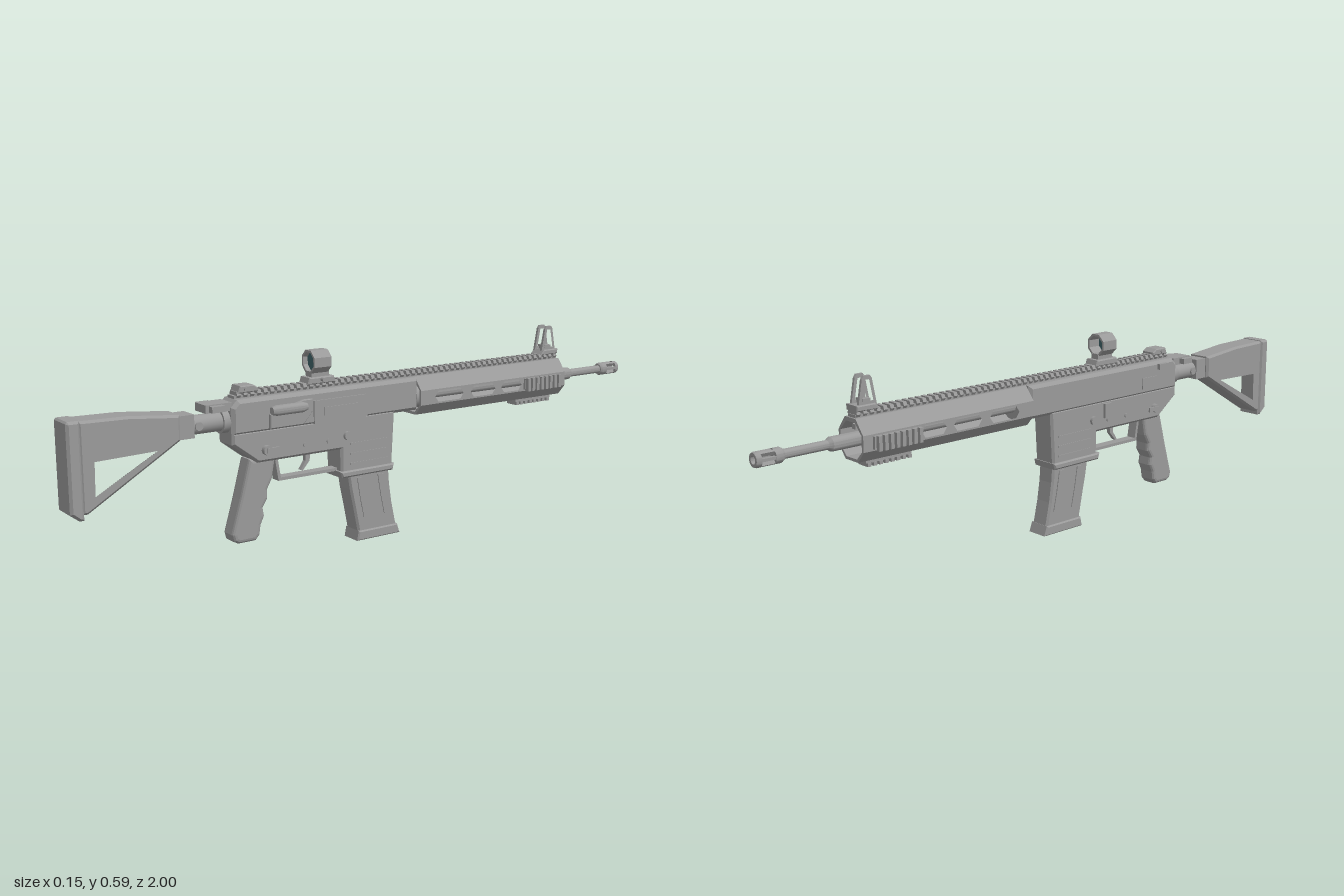
import * as THREE from 'three';
import { toCreasedNormals } from 'three/addons/utils/BufferGeometryUtils.js';

export function createModel() {
  const model = new THREE.Group();
  const metal = new THREE.MeshStandardMaterial({ color: 0x9a9a9a });
  metal.name = 'grey metal';
  const glass = new THREE.MeshStandardMaterial({ color: 0x3f6468, side: THREE.DoubleSide });
  glass.name = 'teal glass';

  const add = (name, geo, x = 0, y = 0, z = 0, mat = metal) => {
    const m = new THREE.Mesh(geo, mat);
    m.name = name;
    m.position.set(x, y, z);
    model.add(m);
    return m;
  };
  // box given by its centre x, half width, y range and z range
  const box = (name, x, hw, y0, y1, z0, z1) =>
    add(name, new THREE.BoxGeometry(hw * 2, y1 - y0, z1 - z0), x, (y0 + y1) / 2, (z0 + z1) / 2);
  const path = pts => pts.map(([z, y]) => new THREE.Vector2(-z, y));
  // side profile of [z, y] points, extruded across x
  const side = (name, pts, hw, bevel = 0, holes = [], x = 0, segs = 1) => {
    const s = new THREE.Shape(path(pts));
    holes.forEach(h => s.holes.push(new THREE.Path(path(h))));
    const g = new THREE.ExtrudeGeometry(s, {
      depth: 2 * (hw - bevel), bevelEnabled: bevel > 0, bevelSize: bevel,
      bevelThickness: bevel, bevelOffset: -bevel, bevelSegments: segs });
    g.translate(0, 0, -(hw - bevel));
    g.rotateY(Math.PI / 2);
    return add(name, g, x);
  };
  // cross-section of [x, y] points, extruded along z
  const section = (name, pts, z0, z1) => {
    const s = new THREE.Shape(pts.map(p => new THREE.Vector2(...p)));
    return add(name, new THREE.ExtrudeGeometry(s, { depth: z1 - z0, bevelEnabled: false }), 0, 0, z0);
  };
  // [radius, z] profile turned round the z axis
  const turned = (name, pts, x, y, n = 16, phase = 0) => {
    const g = new THREE.LatheGeometry(pts.map(p => new THREE.Vector2(...p)), n, phase);
    g.rotateX(Math.PI / 2);
    return add(name, toCreasedNormals(g, 0.6), x, y);
  };
  // short pin sticking out along x
  const pin = (name, x, y, z, r, len) => {
    const g = new THREE.CylinderGeometry(r, r, len, 12);
    g.rotateZ(Math.PI / 2);
    return add(name, g, x, y, z);
  };
  const BY = 0.415; // bore height

  // Stock
  side('stock', [[0.967, 0.473], [0.83, 0.47], [0.68, 0.455], [0.68, 0.385], [0.95, 0.226], [0.967, 0.226]],
    0.04, 0.007, [[[0.935, 0.37], [0.74, 0.37], [0.935, 0.262]]]);
  side('buttPad', [[1, 0.47], [0.995, 0.475], [0.962, 0.475], [0.962, 0.212], [0.975, 0.212], [1, 0.232]], 0.043, 0.007);
  turned('bufferTube', [[0, 0.5], [0.027, 0.5], [0.027, 0.72], [0, 0.72]], 0, BY);
  turned('bufferCollar', [[0, 0.515], [0.034, 0.515], [0.034, 0.545], [0, 0.545]], 0, BY);
  box('stockLatch', 0, 0.03, 0.385, 0.45, 0.635, 0.685);
  pin('slingSocket', 0, BY, 0.62, 0.012, 0.062);

  // Receiver
  side('upperReceiver', [[0.525, 0.455], [0.505, 0.475], [-0.115, 0.475], [-0.115, 0.375], [0.525, 0.375]], 0.043, 0.01);
  side('lowerReceiver', [[0.525, 0.385], [0.525, 0.35], [0.445, 0.29], [0.165, 0.29], [0.165, 0.215], [-0.02, 0.215], [-0.03, 0.385]],
    0.04, 0.007);
  side('magazineWellFlare', [[0.172, 0.224], [0.165, 0.204], [-0.018, 0.204], [-0.024, 0.224]], 0.047, 0.005);
  section('chargingHandle', [[-0.03, 0.447], [0.03, 0.447], [0.03, 0.47], [-0.03, 0.47]], 0.52, 0.6);
  box('chargingHandleWings', 0, 0.049, 0.45, 0.467, 0.55, 0.59);

  // Ejection port frame, cover and deflector on the +x side
  side('ejectionPort', [[0.262, 0.38], [0.262, 0.447], [0.08, 0.447], [0.075, 0.44], [0.075, 0.387], [0.085, 0.38]],
    0.003, 0, [[[0.235, 0.395], [0.235, 0.43], [0.1, 0.43], [0.1, 0.395]]], 0.045);
  box('portCover', 0.044, 0.002, 0.4, 0.424, 0.11, 0.225);
  turned('forwardAssist', [[0, 0.295], [0.01, 0.295], [0.015, 0.31], [0.015, 0.395], [0.011, 0.41], [0, 0.41]], 0.059, 0.437);
  side('forwardAssistHousing', [[0.41, 0.385], [0.41, 0.425], [0.3, 0.455], [0.27, 0.455], [0.27, 0.42], [0.3, 0.385]], 0.006, 0.002, [], 0.046);

  // Controls
  for (const s of [1, -1]) {
    pin('selectorHub', s * 0.044, 0.325, 0.42, 0.014, 0.02);
    box('selectorLever', s * 0.053, 0.003, 0.318, 0.332, 0.385, 0.425);
    pin('frontPin', s * 0.04, 0.322, 0.21, 0.007, 0.008);
    pin('rearPin', s * 0.04, 0.322, 0.29, 0.007, 0.008);
    pin('magazineRelease', s * 0.042, 0.33, 0.145, 0.013, 0.014);
    // pressed ridges on the magazine well
    for (const y of [0.24, 0.27, 0.3]) box('wellRidge', s * 0.04, 0.002, y, y + 0.006, 0.0, 0.135);
  }
  box('boltCatch', -0.044, 0.004, 0.33, 0.375, 0.19, 0.22);
  box('sidePlate', -0.043, 0.003, 0.395, 0.43, 0.36, 0.43);
  box('sideKnob', -0.047, 0.007, 0.449, 0.467, 0.43, 0.47);

  // Grip, trigger and guard
  side('grip', [[0.465, 0.3], [0.495, 0.19], [0.525, 0.09], [0.52, 0.07], [0.505, 0.062], [0.45, 0.062], [0.436, 0.078],
    [0.432, 0.105], [0.42, 0.13], [0.424, 0.155], [0.408, 0.18], [0.409, 0.205], [0.392, 0.235], [0.38, 0.3]], 0.03, 0.012, [], 0, 3);
  side('triggerGuard', [[0.378, 0.295], [0.366, 0.222], [0.16, 0.222], [0.16, 0.231], [0.358, 0.231], [0.369, 0.295]], 0.016);
  side('trigger', [[0.268, 0.295], [0.268, 0.265], [0.285, 0.24], [0.278, 0.238], [0.255, 0.264], [0.25, 0.295]], 0.007);

  // Magazine
  side('magazine', [[0.137, 0.225], [0.127, 0.16], [0.114, 0.1], [0.098, 0.02], [-0.043, 0.02], [-0.026, 0.1], [-0.017, 0.16], [-0.012, 0.225]],
    0.032, 0.006);
  side('magazineBase', [[0.106, 0], [0.1, 0.03], [-0.042, 0.03], [-0.052, 0]], 0.037, 0.004);
  for (const s of [1, -1]) for (const z of [0.105, 0.03])
    side('magazineRib', [[z, 0.195], [z - 0.011, 0.13], [z - 0.024, 0.07], [z - 0.044, 0.07], [z - 0.031, 0.13], [z - 0.02, 0.195]],
      0.003, 0, [], s * 0.032);

  // Hollow eight-sided handguard with slotted walls
  const H0 = -0.71, H1 = -0.115;
  section('handguardTop', [[-0.056, 0.435], [-0.048, 0.435], [-0.02, 0.464], [0.02, 0.464], [0.048, 0.435], [0.056, 0.435],
    [0.024, 0.475], [-0.024, 0.475]], H0, H1);
  section('handguardBottom', [[-0.056, 0.39], [-0.028, 0.358], [0.028, 0.358], [0.056, 0.39], [0.048, 0.39],
    [0.024, 0.366], [-0.024, 0.366], [-0.048, 0.39]], H0, H1);
  const slots = [[-0.17, -0.28], [-0.31, -0.41], [-0.435, -0.52]].map(([a, b]) =>
    [[a, 0.412], [a - 0.012, 0.43], [b + 0.012, 0.43], [b, 0.412], [b + 0.012, 0.395], [a - 0.012, 0.395]]);
  for (const s of [1, -1])
    side('handguardWall', [[H1, 0.435], [H0, 0.435], [H0, 0.39], [H1, 0.39]], 0.004, 0, slots, s * 0.052);
  turned('barrelNut', [[0, -0.15], [0.04, -0.15], [0.04, -0.11], [0, -0.11]], 0, BY);
  box('gasTube', 0, 0.008, 0.442, 0.456, -0.7, -0.12);

  // Ribbed accessory rails on both sides and below
  for (const s of [1, -1]) box('sideRailBase', s * 0.06, 0.005, 0.395, 0.43, -0.68, -0.53);
  box('lowerRailBase', 0, 0.02, 0.348, 0.36, -0.68, -0.53);
  for (let i = 0; i < 8; i++) {
    const z = -0.675 + i * 0.019;
    for (const s of [1, -1]) box('sideRailTooth', s * 0.071, 0.006, 0.391, 0.432, z, z + 0.011);
    box('lowerRailTooth', 0, 0.022, 0.338, 0.348, z, z + 0.011);
  }

  // Long toothed top rail
  box('topRailBase', 0, 0.017, 0.47, 0.483, -0.705, 0.505);
  for (let i = 0; i < 56; i++) {
    const z = -0.703 + i * 0.0216;
    section('topRailTooth', [[-0.017, 0.477], [0.017, 0.477], [0.022, 0.484], [0.017, 0.494], [-0.017, 0.494], [-0.022, 0.484]], z, z + 0.012);
  }

  // Barrel and slotted muzzle
  turned('barrel', [[0, -0.93], [0.013, -0.93], [0.013, -0.785], [0.02, -0.775], [0.02, -0.7], [0.018, -0.12], [0, -0.12]], 0, BY);
  turned('muzzleRear', [[0, -0.945], [0.021, -0.945], [0.021, -0.925], [0.017, -0.918], [0, -0.918]], 0, BY);
  turned('muzzleRing', [[0.011, -1], [0.019, -1], [0.021, -0.996], [0.021, -0.985], [0.011, -0.985], [0.011, -1]], 0, BY);
  for (let i = 0; i < 6; i++) {
    const a = (i + 0.5) * Math.PI / 3;
    const bar = box('muzzleBar', 0, 0.004, 0, 0.011, -0.987, -0.943);
    bar.position.x = Math.sin(a) * 0.015;
    bar.position.y = BY + Math.cos(a) * 0.015;
    bar.rotation.z = -a;
  }

  // Front sight: two open frames and a centre post
  side('frontSightBase', [[-0.632, 0.492], [-0.645, 0.508], [-0.705, 0.508], [-0.705, 0.492]], 0.026, 0.003);
  for (const s of [1, -1])
    side('frontSightFrame', [[-0.638, 0.505], [-0.651, 0.575], [-0.657, 0.584], [-0.677, 0.584], [-0.683, 0.575], [-0.696, 0.505]],
      0.004, 0, [[[-0.649, 0.516], [-0.66, 0.573], [-0.674, 0.573], [-0.685, 0.516]]], s * 0.016);
  box('frontSightPost', 0, 0.003, 0.505, 0.56, -0.671, -0.663);
  box('frontSightBridge', 0, 0.016, 0.508, 0.522, -0.68, -0.655);

  // Folded rear sight
  side('rearSight', [[0.495, 0.49], [0.488, 0.51], [0.445, 0.51], [0.43, 0.5], [0.43, 0.49]], 0.024, 0.003);
  pin('rearSightPin', 0, 0.5, 0.47, 0.006, 0.056);

  // Eight-sided optic on a clamp mount
  side('opticMount', [[0.268, 0.49], [0.262, 0.509], [0.178, 0.509], [0.172, 0.49]], 0.025, 0.003);
  box('opticNeck', 0, 0.015, 0.505, 0.525, 0.19, 0.25);
  pin('opticClampKnob', 0.031, 0.502, 0.22, 0.006, 0.014);
  turned('opticHousing', [[0.029, 0.193], [0.036, 0.193], [0.036, 0.251], [0.029, 0.251], [0.029, 0.193]], 0, 0.552, 8, Math.PI / 8);
  add('opticLens', new THREE.CircleGeometry(0.0305, 8, Math.PI / 8), 0, 0.552, 0.235, glass);
  return model;
}
